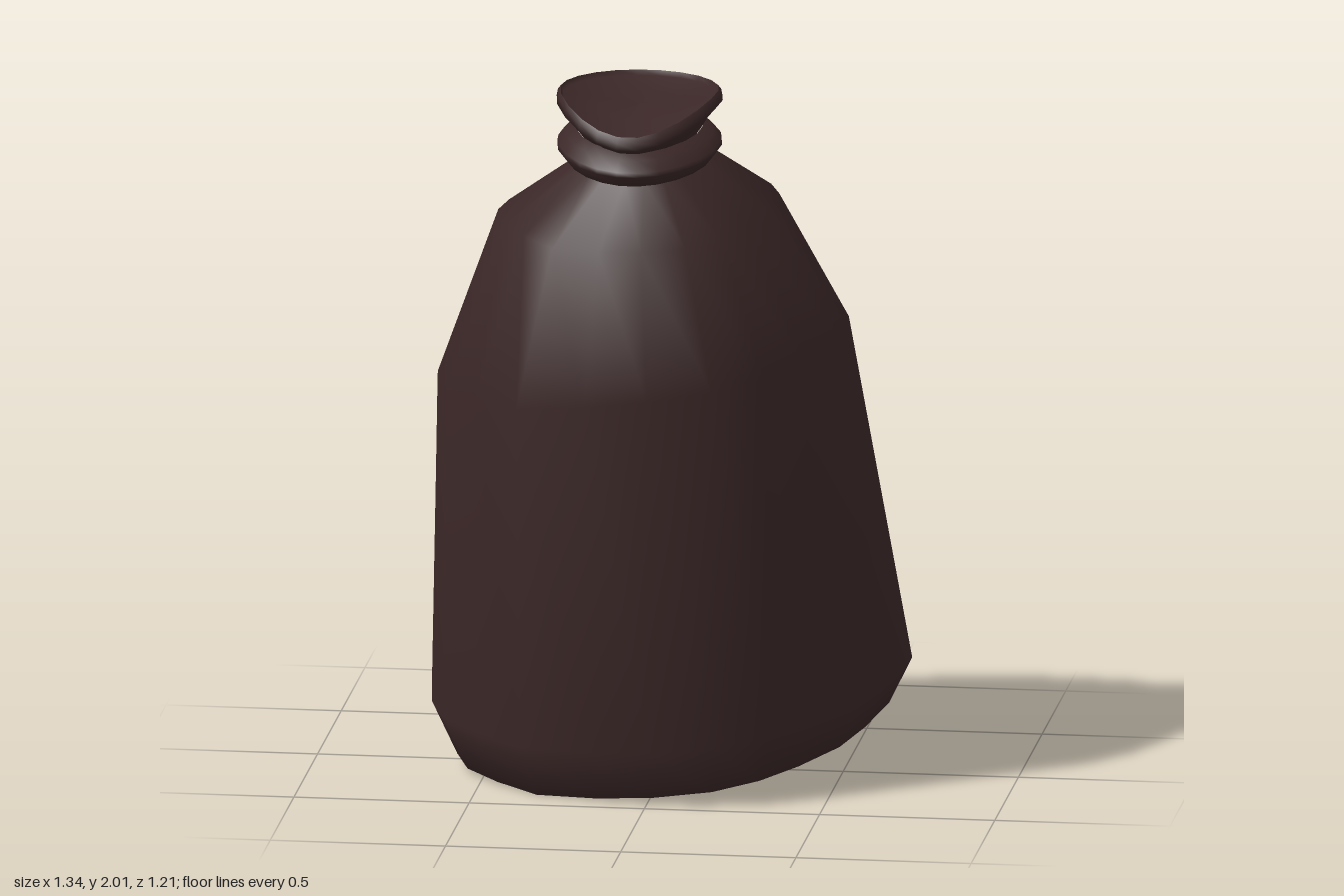
import * as THREE from 'three';

const N = 22;

// Outlines run left, back, right, front, as [x, z].
const baseOutline = [
  [-0.67, 0.03], [-0.64, -0.07], [-0.55, -0.3], [-0.43, -0.44], [-0.27, -0.54], [-0.09, -0.6],
  [0.11, -0.61], [0.3, -0.56], [0.45, -0.47], [0.57, -0.33], [0.67, -0.2], [0.62, 0],
  [0.56, 0.16], [0.45, 0.31], [0.34, 0.42], [0.2, 0.5], [0.02, 0.53], [-0.16, 0.52],
  [-0.36, 0.47], [-0.5, 0.35], [-0.61, 0.23], [-0.66, 0.1],
];
const shoulderOutline = [
  [-0.65, 0.05], [-0.62, -0.07], [-0.53, -0.25], [-0.42, -0.37], [-0.27, -0.46], [-0.09, -0.5],
  [0.1, -0.5], [0.25, -0.44], [0.36, -0.35], [0.45, -0.24], [0.5, -0.12], [0.52, 0.02],
  [0.52, 0.15], [0.44, 0.34], [0.34, 0.47], [0.2, 0.56], [0.02, 0.6], [-0.16, 0.59],
  [-0.36, 0.54], [-0.5, 0.38], [-0.6, 0.25], [-0.64, 0.13],
];

// Egg-shaped outline of the collar, narrower towards the front.
const CX = -0.063, CZ = 0.13;
const collarOutline = Array.from({ length: N }, (_, j) => {
  const t = (j / N) * Math.PI * 2;
  const s = -Math.sin(t);
  const narrow = 1 - 0.1 * Math.max(0, s) ** 2;
  return [CX - 0.237 * narrow * Math.cos(t), CZ + s * (s > 0 ? 0.275 : 0.22)];
});

// Scales an outline about a centre, shifts it, and lays it on a height rule.
function ring(outline, scaleX, scaleZ, from, to, height) {
  return outline.map(([x, z]) => {
    const px = to[0] + (x - from[0]) * scaleX;
    const pz = to[1] + (z - from[1]) * scaleZ;
    return [px, height(px, pz), pz];
  });
}

const tilt = (c, ax, az) => (x, z) => c + ax * x + az * z;

// Skins a stack of rings, from bottom to top.
function loft(name, rings, material) {
  const index = [];
  for (let i = 0; i < rings.length - 1; i++) {
    for (let j = 0; j < N; j++) {
      const k = (j + 1) % N;
      const a = i * N + j, b = (i + 1) * N + j, c = (i + 1) * N + k, d = i * N + k;
      index.push(a, b, c, a, c, d);
    }
  }
  const geometry = new THREE.BufferGeometry();
  geometry.setAttribute('position', new THREE.Float32BufferAttribute(rings.flat(2), 3));
  geometry.setIndex(index);
  geometry.computeVertexNormals();
  const mesh = new THREE.Mesh(geometry, material);
  mesh.name = name;
  return mesh;
}

export function createModel() {
  const group = new THREE.Group();
  group.name = 'tiedSack';
  const darkBrown = new THREE.MeshStandardMaterial({ color: 0x3b2727 });
  darkBrown.name = 'darkBrown';

  // Sagging body: flat tilted bottom, rounded lower edge, shoulder, neck
  const baseMid = [0, -0.04], shoulderMid = [-0.065, 0.05];
  const bottom = tilt(0.07, 0.07, -0.147);
  const body = [
    ring(baseOutline, 0, 0, baseMid, [0, -0.07], bottom),
    ring(baseOutline, 0.8, 0.8, baseMid, [0, -0.07], bottom),
    ring(baseOutline, 0.9, 0.885, baseMid, [0, -0.07], bottom),
    ring(baseOutline, 1, 1, baseMid, baseMid, tilt(0.225, 0.045, -0.124)),
    ring(shoulderOutline, 1, 1, shoulderMid, shoulderMid, tilt(1.22, 0.13, -0.036)),
    ring(shoulderOutline, 0.684, 0.68, shoulderMid, [-0.07, 0.105], tilt(1.655, 0.04, -0.1)),
    ring(shoulderOutline, 0.31, 0.34, shoulderMid, [-0.05, 0.145], tilt(1.828, 0.03, -0.15)),
  ];
  group.add(loft('sackBody', body, darkBrown));

  // Collar heights: the lower band tilts forward, the rim droops at the front
  const mid = [CX, CZ];
  const band = (s, y) => ring(collarOutline, s, s, mid, mid, (x, z) => y - 0.14 * (z - CZ));
  const rim = (s, y) =>
    ring(collarOutline, s, s, mid, mid, (x, z) => y - 1.2 * Math.max(0, z - CZ) ** 2);

  group.add(loft('lowerCollar', [
    band(0.7, 1.79), band(0.87, 1.805), band(0.99, 1.842), band(0.98, 1.855),
    band(0.88, 1.88), band(0.76, 1.895),
  ], darkBrown));
  group.add(loft('flaredRim', [
    band(0.74, 1.89), rim(0.83, 1.925), rim(1, 1.972), rim(0.985, 1.99), rim(0.95, 2),
  ], darkBrown));

  // Shallow dished top inside the rim
  group.add(loft('gatheredTop', [
    rim(0.95, 2), rim(0.92, 1.985), rim(0.5, 1.962), rim(0, 1.955),
  ], darkBrown));

  return group;
}
